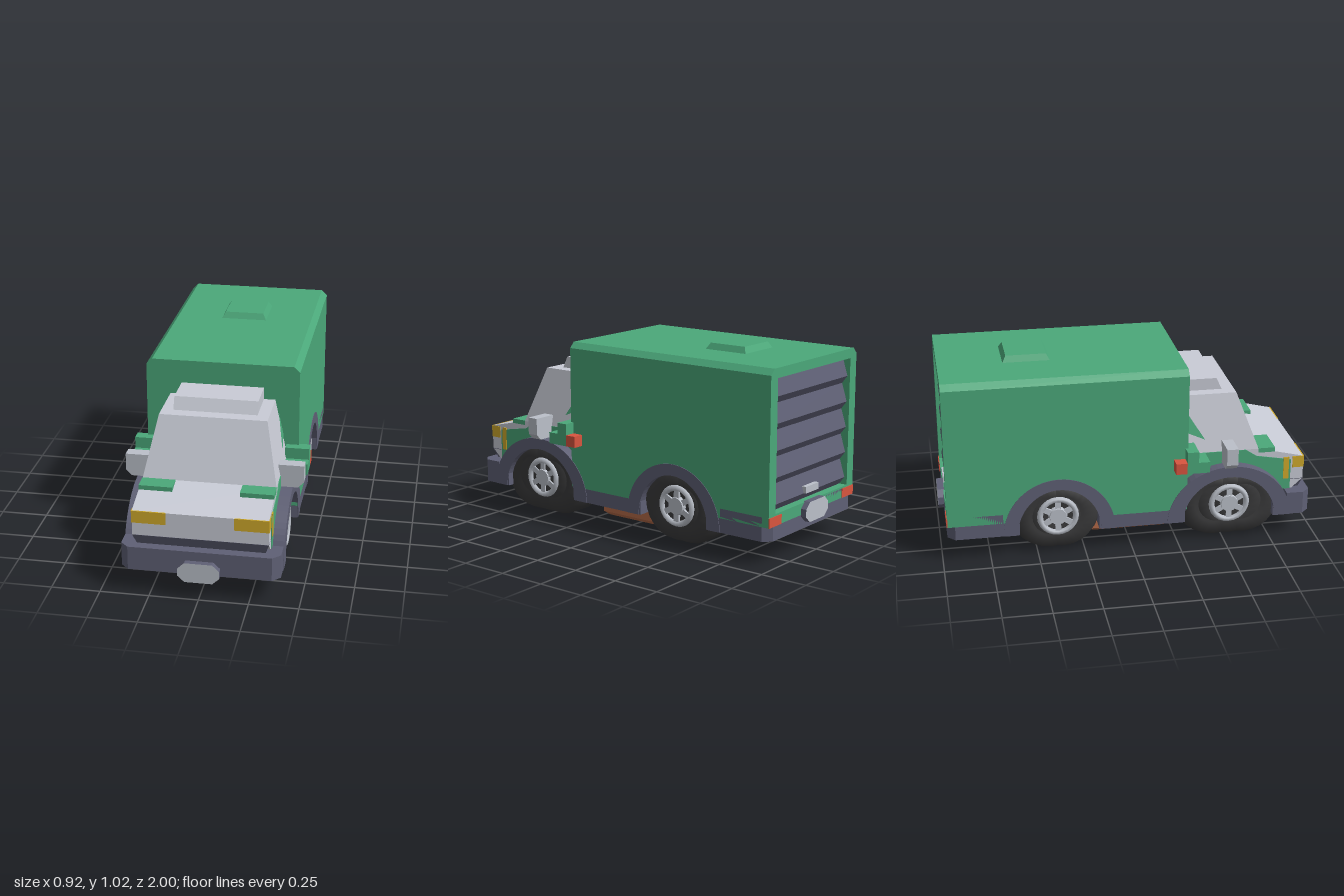
import * as THREE from 'three';

const mat = (name, color, side = THREE.FrontSide) => {
  const m = new THREE.MeshStandardMaterial({ color, side });
  m.name = name;
  return m;
};

export function createModel() {
  const green = mat('green paint', 0x4ba87a);
  const greenPanel = mat('green trim', 0x4ba87a, THREE.DoubleSide);
  const slate = mat('slate chassis', 0x5f6075);
  const light = mat('pale cab', 0xc9ccd6);
  const metal = mat('light metal', 0xbbc0c9);
  const yellow = mat('amber lamp', 0xd0aa2c);
  const red = mat('red lamp', 0xd9553f);
  const orange = mat('copper tank', 0xb56a48);
  const rubber = mat('tyre rubber', 0x3a3a3b);
  const brick = mat('brick plate', 0x984436);

  const model = new THREE.Group();
  model.name = 'boxTruck';
  const add = (name, geo, material, parent = model) => {
    const mesh = new THREE.Mesh(geo, material);
    mesh.name = name;
    parent.add(mesh);
    return mesh;
  };
  // box given by its limits
  const box = (name, m, x0, x1, y0, y1, z0, z1) => {
    const g = new THREE.BoxGeometry(x1 - x0, y1 - y0, z1 - z0);
    return add(name, g.translate((x0 + x1) / 2, (y0 + y1) / 2, (z0 + z1) / 2), m);
  };
  const poly = (pts) => new THREE.Shape(pts.map(([u, v]) => new THREE.Vector2(u, v)));
  const extrude = (shape, depth) =>
    new THREE.ExtrudeGeometry(shape, { depth, bevelEnabled: false, curveSegments: 16 });
  // side profile (z, y) extruded across x
  const across = (shape, x0, x1) => extrude(shape, x1 - x0).rotateY(-Math.PI / 2).translate(x1, 0, 0);
  // plan (x, z) extruded upwards
  const upward = (shape, y0, y1) => extrude(shape, y1 - y0).rotateX(Math.PI / 2).translate(0, y1, 0);
  // tapered block: half width and z limits at bottom and top
  const taper = (y0, w0, a0, b0, y1, w1, a1, b1) => {
    const g = new THREE.BoxGeometry(1, 1, 1);
    const p = g.attributes.position;
    for (let i = 0; i < p.count; i++) {
      const top = p.getY(i) > 0, front = p.getZ(i) > 0;
      p.setXYZ(i, Math.sign(p.getX(i)) * (top ? w1 : w0), top ? y1 : y0,
        top ? (front ? b1 : a1) : (front ? b0 : a0));
    }
    g.computeVertexNormals();
    return g;
  };

  const axles = [
    { name: 'front', z: 0.525, outer: 0.335, inner: 0.25, tyres: [0.455, 0.535, 0.615], hub: 0.53 },
    { name: 'rear', z: -0.385, outer: 0.295, inner: 0.22, tyres: [-0.365, -0.43], hub: -0.39 },
  ];

  // chassis plate, notched around the wheels
  const right = [[0.36, 0.97], [0.4, 0.93]];
  for (const a of axles) {
    const n = a.inner - 0.01;
    right.push([0.4, a.z + n], [0.155, a.z + n], [0.155, a.z - n], [0.4, a.z - n]);
  }
  right.push([0.4, -0.93], [0.36, -0.97]);
  const left = right.map(([x, z]) => [-x, z]).reverse();
  add('chassis', upward(poly([...right, ...left]), 0.125, 0.2), slate);
  for (const [name, s, z] of [['frontBumper', 1, 0.84], ['rearBumper', -1, 0.68]]) {
    const plan = [[0.4, z], [0.4, 0.93], [0.36, 0.97], [-0.36, 0.97], [-0.4, 0.93], [-0.4, z]];
    add(name, upward(poly(plan.map(([x, v]) => [x, v * s])), 0.2, 0.25), slate);
  }

  // cargo body: upper block, lower sides with wheel cutouts, rear frame
  const section = (y0) => poly([[-0.4, y0], [0.4, y0], [0.4, 0.955], [0.37, 0.985], [-0.37, 0.985], [-0.4, 0.955]]);
  add('cargoBody', extrude(section(0.43), 1.215).translate(0, 0, -0.92), green);
  const lower = new THREE.Shape();
  lower.moveTo(0.295, 0.43);
  lower.lineTo(-0.92, 0.43);
  lower.lineTo(-0.92, 0.2);
  lower.absellipse(-0.385, 0.2, 0.25, 0.2, Math.PI, 0, true);
  lower.lineTo(0.295, 0.2);
  add('cargoLowerBody', across(lower, -0.4, 0.4), green);
  const frame = section(0.2);
  frame.holes.push(new THREE.Path([[-0.34, 0.26], [-0.34, 0.935], [0.34, 0.935], [0.34, 0.26]]
    .map(([x, y]) => new THREE.Vector2(x, y))));
  add('rearFrame', extrude(frame, 0.05).translate(0, 0, -0.97), green);
  add('roofHatch', taper(0.985, 0.123, -0.633, -0.387, 1.017, 0.105, -0.615, -0.405), green);

  // slatted roller door and handle
  const slats = [[-0.915, 0.26]];
  for (let i = 0; i < 5; i++) {
    const y = 0.26 + i * 0.135;
    slats.push([-0.925, y], [-0.955, y + 0.04], [-0.925, y + 0.135]);
  }
  slats.push([-0.915, 0.935]);
  add('rollerDoor', across(poly(slats), -0.34, 0.34), slate);
  box('doorHandle', metal, -0.06, 0.06, 0.3, 0.335, -0.968, -0.94);

  // cab with sloping hood
  add('hood', across(poly([[0.29, 0.25], [0.29, 0.495], [0.69, 0.495], [0.94, 0.435], [0.94, 0.305], [0.88, 0.25]]), -0.34, 0.34), light);
  add('cabTop', taper(0.495, 0.34, 0.29, 0.69, 0.8, 0.275, 0.29, 0.575), light);
  add('roofFairing', taper(0.8, 0.215, 0.29, 0.51, 0.863, 0.215, 0.29, 0.48), light);
  add('grille', taper(0.25, 0.322, 0.6, 0.92, 0.305, 0.341, 0.6, 0.942), slate);

  for (const s of [1, -1]) {
    const sx = (a, b) => (s > 0 ? [a, b] : [-b, -a]);
    // cab sides
    const panel = [[0.87, 0.25], [0.87, 0.42], [0.68, 0.455], [0.62, 0.495], [0.29, 0.495], [0.29, 0.25]];
    add('cabSidePanel', across(poly(panel), ...sx(0.338, 0.344)), green);
    const tri = new THREE.BufferGeometry();
    const sideX = (y) => s * (0.344 - (y - 0.495) * 0.213);
    tri.setAttribute('position', new THREE.Float32BufferAttribute(
      [[0.73, 0.295], [0.61, 0.295], [0.565, 0.4]].flatMap(([y, z]) => [sideX(y), y, z]), 3));
    tri.setIndex(s > 0 ? [0, 1, 2] : [0, 2, 1]);
    tri.computeVertexNormals();
    if (tri.attributes.normal.getX(0) * s < 0) {
      tri.setIndex(s > 0 ? [0, 2, 1] : [0, 1, 2]);
      tri.computeVertexNormals();
    }
    add('windowTrim', tri, greenPanel);
    box('hoodVent', green, ...sx(0.17, 0.341), 0.472, 0.497, 0.69, 0.78);
    // lamps
    box('headlight', yellow, ...sx(0.17, 0.343), 0.372, 0.436, 0.88, 0.943);
    box('sideMarker', yellow, ...sx(0.338, 0.346), 0.31, 0.435, 0.83, 0.86);
    box('tailLight', red, ...sx(0.29, 0.4), 0.2, 0.25, -0.974, -0.968);
    // mirrors and side pods
    const mirror = [[0.33, 0.435], [0.43, 0.435], [0.46, 0.465], [0.46, 0.555], [0.33, 0.555]];
    const outline = poly(mirror.map(([x, y]) => [s * x, y]));
    add('mirror', extrude(outline, 0.06).translate(0, 0, 0.49), metal);
    box('sidePod', green, ...sx(0.335, 0.46), 0.435, 0.495, 0.28, 0.4);
    box('sidePodTop', green, ...sx(0.335, 0.46), 0.495, 0.555, 0.28, 0.34);
    box('sidePodLamp', red, ...sx(0.395, 0.46), 0.435, 0.495, 0.22, 0.28);

    for (const a of axles) {
      // wheel arch
      const arch = new THREE.Shape();
      arch.moveTo(a.z + a.outer, 0.125);
      arch.absellipse(a.z, 0.125, a.outer, 0.305, 0, Math.PI, false);
      arch.absellipse(a.z, 0.125, a.inner, 0.245, Math.PI, 0, true);
      add(a.name + 'Fender', across(arch, ...sx(0.3, 0.403)), slate);

      // overlapping tyres with one hub
      const wheel = new THREE.Group();
      wheel.name = a.name + 'Wheel';
      model.add(wheel);
      const profile = [[0.11, 0.155], [0.18, 0.155], [0.205, 0.2], [0.205, 0.31], [0.18, 0.365], [0.11, 0.37], [0.0, 0.345]];
      profile.unshift([0, 0.155]);
      for (const z of a.tyres) {
        const tyre = new THREE.LatheGeometry(profile.map(([r, h]) => new THREE.Vector2(r, h)), 24);
        add('tyre', tyre.rotateZ(-s * Math.PI / 2).translate(0, 0.205, z), rubber, wheel);
      }
      const turn = (g, x) => g.rotateZ(-s * Math.PI / 2).translate(s * x, 0.205, a.hub);
      add('hubCap', turn(new THREE.CylinderGeometry(0.045, 0.055, 0.03, 12), 0.368), metal, wheel);
      add('hubRing', new THREE.TorusGeometry(0.095, 0.016, 6, 24).rotateY(Math.PI / 2)
        .translate(s * 0.37, 0.205, a.hub), metal, wheel);
      for (let i = 0; i < 6; i++) {
        const spoke = new THREE.BoxGeometry(0.02, 0.09, 0.03).translate(0, 0.05, 0).rotateX(i * Math.PI / 3);
        add('spoke', spoke.translate(s * 0.367, 0.205, a.hub), metal, wheel);
      }
    }
  }

  // eight-sided bumper plates and tow bars
  const octagon = poly([[-0.07, -0.0525], [0.07, -0.0525], [0.105, -0.02], [0.105, 0.02],
    [0.07, 0.0525], [-0.07, 0.0525], [-0.105, 0.02], [-0.105, -0.02]]);
  add('frontPlate', extrude(octagon, 0.035).translate(0, 0.148, 0.965), [metal, slate]);
  add('rearPlate', extrude(octagon, 0.035).translate(0, 0.212, -1), [metal, slate]);
  box('frontTowBar', slate, -0.08, 0.08, 0.1, 0.126, 0.88, 0.91);
  box('rearTowBar', metal, -0.08, 0.08, 0.1, 0.126, -0.9, -0.87);
  box('rearCrossBar', slate, -0.08, 0.08, 0.1, 0.126, -0.78, -0.755);

  // underfloor tank
  box('tank', orange, -0.2, 0.2, 0.025, 0.13, -0.2, 0.24);
  add('tankBase', taper(0.003, 0.175, -0.175, 0.215, 0.025, 0.2, -0.2, 0.24), orange);
  box('tankPlate', brick, -0.09, 0.09, 0, 0.005, -0.08, 0.12);

  return model;
}
